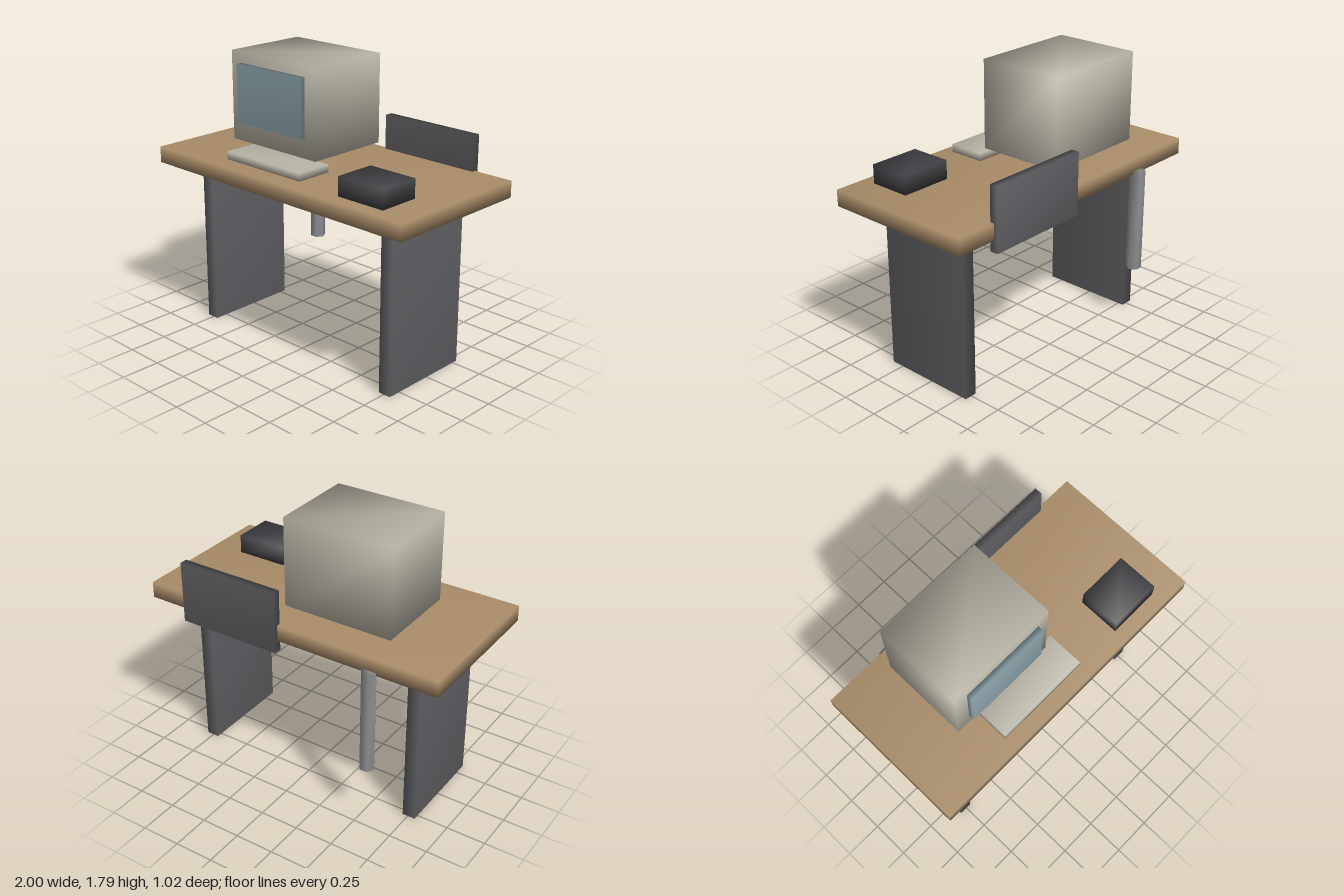
import * as THREE from 'three';
import { mergeVertices } from 'three/addons/utils/BufferGeometryUtils.js';

// Share corners between faces so the shading rolls softly around the edges
function softened(geometry) {
  geometry.deleteAttribute('uv');
  geometry.deleteAttribute('normal');
  const welded = mergeVertices(geometry, 1e-4);
  welded.computeVertexNormals();
  return welded;
}

export function createModel() {
  const model = new THREE.Group();
  model.name = 'computerDesk';

  const paint = (color) => new THREE.MeshStandardMaterial({ color });
  const wood = paint(0xa88c68);
  const darkGrey = paint(0x5c5c60);
  const charcoal = paint(0x3e3e42);
  const beige = paint(0xb8b4a6);
  const glass = paint(0x8aa2a8);
  const steel = paint(0x8c8e90);

  function add(name, geometry, material, x, y, z) {
    const mesh = new THREE.Mesh(softened(geometry), material);
    mesh.name = name;
    mesh.position.set(x, y, z);
    model.add(mesh);
  }

  // Box given by its extents along each axis
  function box(name, material, [x0, x1], [y0, y1], [z0, z1]) {
    add(name, new THREE.BoxGeometry(x1 - x0, y1 - y0, z1 - z0), material,
      (x0 + x1) / 2, (y0 + y1) / 2, (z0 + z1) / 2);
  }

  // Desk
  box('deskTop', wood, [-1, 1], [1.062, 1.165], [-0.47, 0.51]);
  box('rightLegPanel', darkGrey, [-0.798, -0.715], [0, 1.04], [-0.287, 0.333]);
  box('leftLegPanel', darkGrey, [0.713, 0.796], [0, 1.04], [-0.287, 0.333]);
  box('backPanel', darkGrey, [0.057, 0.737], [0.99, 1.385], [-0.496, -0.445]);

  // Hexagonal post hanging behind the desk
  const post = new THREE.CylinderGeometry(0.049, 0.049, 0.67, 6).rotateY(Math.PI / 6);
  add('cablePost', post, steel, -0.563, 0.745, -0.467);

  // Things on the desk
  box('monitorBody', beige, [-0.627, 0.085], [1.233, 1.795], [-0.348, 0.212]);
  box('monitorScreen', glass, [-0.542, 0.005], [1.36, 1.728], [0.218, 0.253]);
  box('keyboard', beige, [-0.46, 0.16], [1.178, 1.228], [0.18, 0.418]);
  box('deskBox', charcoal, [0.468, 0.797], [1.165, 1.284], [0.155, 0.421]);

  return model;
}
